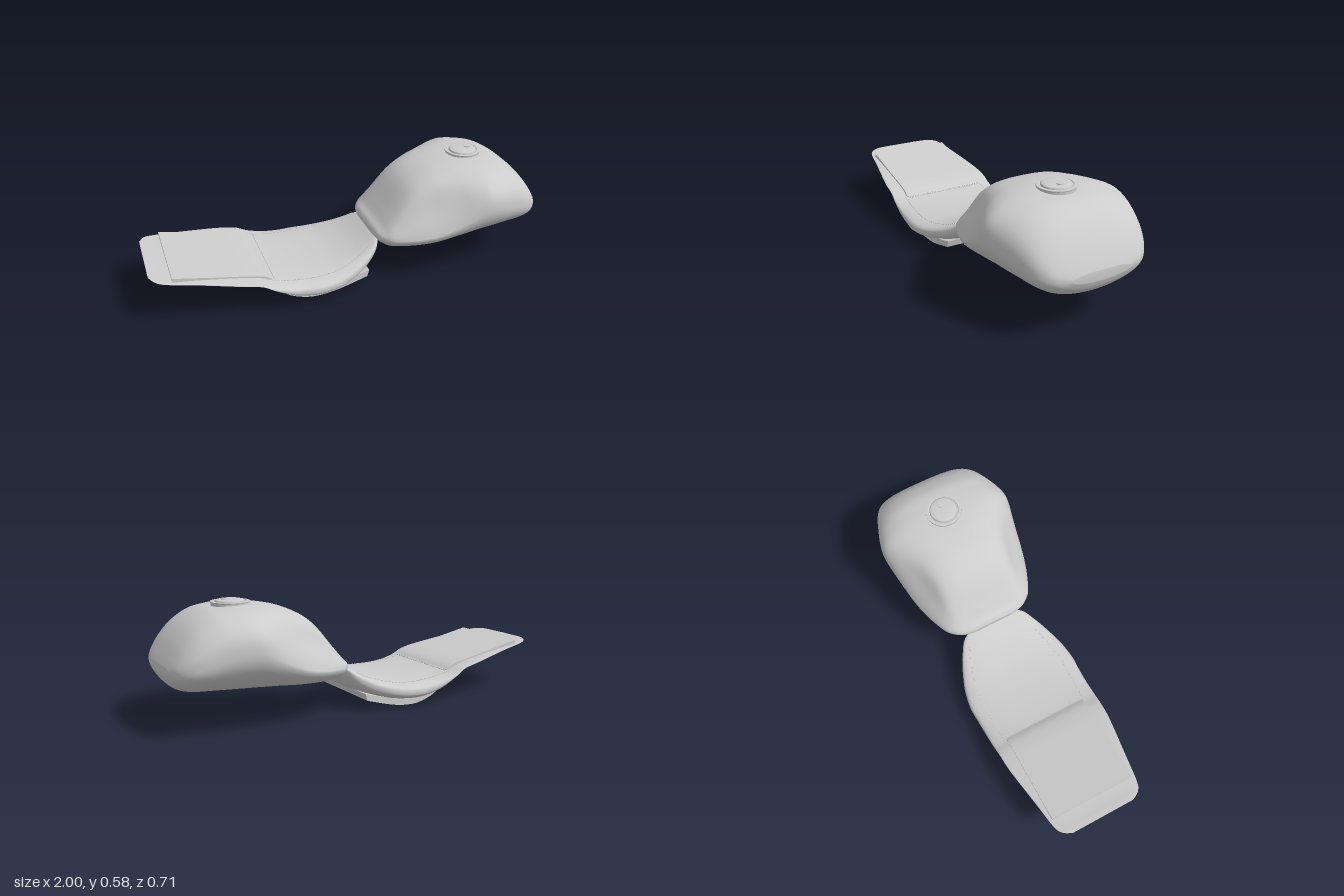
import * as THREE from 'three';

const grey = new THREE.MeshStandardMaterial({ color: 0xcccccc });
grey.name = 'light grey';

// Station: x, bottom y, widest y, top y, half width, side dent
const tankStations = [
  [0.12, 0.21, 0.228, 0.245, 0.11, 0],
  [0.132, 0.192, 0.23, 0.262, 0.17, 0.01],
  [0.16, 0.165, 0.235, 0.285, 0.215, 0.04],
  [0.2, 0.15, 0.24, 0.335, 0.248, 0.09],
  [0.3, 0.151, 0.25, 0.46, 0.29, 0.17],
  [0.4, 0.155, 0.27, 0.52, 0.318, 0.17],
  [0.5, 0.16, 0.31, 0.545, 0.336, 0.1],
  [0.58, 0.163, 0.35, 0.554, 0.35, 0.03],
  [0.65, 0.166, 0.38, 0.555, 0.357, 0],
  [0.72, 0.17, 0.375, 0.55, 0.346, 0],
  [0.8, 0.175, 0.355, 0.535, 0.322, 0],
  [0.88, 0.181, 0.33, 0.487, 0.295, 0],
  [0.94, 0.195, 0.31, 0.42, 0.262, 0],
  [0.98, 0.23, 0.3, 0.355, 0.212, 0],
  [1.0, 0.27, 0.295, 0.315, 0.14, 0],
];

const seatStations = [
  [-1.0, 0.25, 0.252, 0.256, 0.165, 0],
  [-0.975, 0.244, 0.248, 0.252, 0.208, 0],
  [-0.93, 0.234, 0.239, 0.244, 0.23, 0],
  [-0.8, 0.214, 0.22, 0.228, 0.251, 0],
  [-0.6, 0.176, 0.185, 0.194, 0.283, 0],
  [-0.5, 0.153, 0.163, 0.172, 0.29, 0],
  [-0.44, 0.115, 0.13, 0.15, 0.294, 0],
  [-0.36, 0.06, 0.098, 0.138, 0.297, 0],
  [-0.28, 0.031, 0.083, 0.132, 0.3, 0],
  [-0.2, 0.025, 0.08, 0.131, 0.303, 0],
  [-0.1, 0.034, 0.088, 0.138, 0.286, 0],
  [0.0, 0.058, 0.115, 0.162, 0.248, 0],
  [0.07, 0.092, 0.15, 0.192, 0.21, 0],
  [0.12, 0.145, 0.19, 0.22, 0.17, 0],
  [0.15, 0.2, 0.22, 0.235, 0.1, 0],
];

// Smoothly blends all columns of a station table at u = 0..1
function sample(stations, u) {
  const last = stations.length - 1;
  const i = Math.min(Math.floor(u * last), last - 1);
  const t = u * last - i;
  const at = (k) => stations[Math.max(0, Math.min(last, k))];
  return at(i).map((b, k) => {
    const a = at(i - 1)[k], c = at(i + 1)[k], d = at(i + 2)[k];
    return b + 0.5 * t * (c - a + t * (2 * a - 5 * b + 4 * c - d + t * (3 * (b - c) + d - a)));
  });
}

const power = (v, p) => Math.sign(v) * Math.abs(v) ** p;

// Point on a squared-oval section, angle measured from +z towards +y
function surfacePoint(stations, u, angle, topN, bottomN) {
  const [x, low, mid, high, width, dent] = sample(stations, u);
  const c = Math.cos(angle), s = Math.sin(angle);
  const p = 2 / (s > 0 ? topN : bottomN);
  const pinch = s > 0 ? 1 - dent * Math.sin(Math.PI * s) : 1;
  const y = mid + (s > 0 ? high - mid : mid - low) * power(s, p);
  return [x, y, width * power(c, p) * pinch];
}

function loft(stations, topN, bottomN, rows = 90, sides = 64) {
  const position = [], index = [];
  for (let i = 0; i <= rows; i++) {
    for (let j = 0; j < sides; j++) {
      position.push(...surfacePoint(stations, i / rows, (j / sides) * Math.PI * 2, topN, bottomN));
    }
  }
  for (let i = 0; i < rows; i++) {
    for (let j = 0; j < sides; j++) {
      const a = i * sides + j, b = i * sides + ((j + 1) % sides);
      index.push(a, a + sides, b, b, a + sides, b + sides);
    }
  }
  // End caps
  const start = position.length / 3;
  for (const s of [stations[0], stations[stations.length - 1]]) position.push(s[0], s[2], 0);
  for (let j = 0; j < sides; j++) {
    const k = (j + 1) % sides;
    index.push(start, j, k, start + 1, rows * sides + k, rows * sides + j);
  }
  const geometry = new THREE.BufferGeometry();
  geometry.setAttribute('position', new THREE.Float32BufferAttribute(position, 3));
  geometry.setIndex(index);
  geometry.computeVertexNormals();
  return geometry;
}

// Plate with a curved side outline, extruded across the seat
function plate(under, over, halfWidth) {
  const v = (list) => list.map(([x, y]) => new THREE.Vector2(x, y));
  const outline = [
    ...new THREE.SplineCurve(v(under)).getPoints(30),
    ...new THREE.SplineCurve(v(over)).getPoints(30),
  ];
  const geometry = new THREE.ExtrudeGeometry(new THREE.Shape(outline), {
    depth: halfWidth * 2, bevelEnabled: false,
  });
  return geometry.translate(0, 0, -halfWidth);
}

export function createModel() {
  const model = new THREE.Group();
  model.name = 'tankAndSeat';
  const add = (name, geometry, parent = model) => {
    const mesh = new THREE.Mesh(geometry, grey);
    mesh.name = name;
    parent.add(mesh);
    return mesh;
  };

  add('fuelTank', loft(tankStations, 2.6, 2));
  add('seatCushion', loft(seatStations, 3, 2.6));

  // Pan below the dip and pad on the tail
  add('seatPan', plate(
    [[-0.48, 0.155], [-0.42, 0.09], [-0.35, 0.035], [-0.27, 0.006], [-0.2, 0], [-0.1, 0.013], [0.05, 0.055]],
    [[0.06, 0.09], [-0.05, 0.06], [-0.2, 0.04], [-0.35, 0.075], [-0.46, 0.16]], 0.222));
  add('rearPad', plate(
    [[-0.9, 0.233], [-0.7, 0.195], [-0.5, 0.157], [-0.45, 0.14]],
    [[-0.435, 0.15], [-0.5, 0.18], [-0.7, 0.219], [-0.9, 0.258]], 0.22));

  // Filler cap: stepped collar, shallow dome and lock button
  const cap = new THREE.Group();
  cap.name = 'fillerCap';
  cap.position.set(0.655, 0, 0);
  model.add(cap);
  const turned = (points) => new THREE.LatheGeometry(points.map(([r, y]) => new THREE.Vector2(r, y)), 48);
  add('capCollar', turned([[0.088, 0.53], [0.088, 0.559], [0.088, 0.559], [0.09, 0.56], [0.09, 0.565],
    [0.09, 0.565], [0.077, 0.566], [0.077, 0.566], [0.074, 0.56], [0.06, 0.56]]), cap);
  add('capDome', turned([[0.069, 0.555], [0.069, 0.568], [0.064, 0.571], [0.05, 0.574], [0.025, 0.575], [0, 0.575]]), cap);
  add('capLock', new THREE.CylinderGeometry(0.016, 0.016, 0.012, 24).translate(0.027, 0.573, 0), cap);

  // Seam stitches along both sides and across the seat
  const stitches = new THREE.Group();
  stitches.name = 'seatStitches';
  model.add(stitches);
  const along = new THREE.BoxGeometry(0.012, 0.004, 0.004);
  const across = new THREE.BoxGeometry(0.004, 0.004, 0.01);
  const sideAngle = Math.acos(0.78 ** 1.5);
  for (let i = 0; i < 34; i++) {
    const u = 0.435 + (i / 33) * 0.42;
    for (const angle of [sideAngle, Math.PI - sideAngle]) {
      const [x, y, z] = surfacePoint(seatStations, u, angle, 3, 2.6);
      const [x2, y2] = surfacePoint(seatStations, u + 0.01, angle, 3, 2.6);
      const stitch = add('sideStitch', along, stitches);
      stitch.position.set(x, y, z);
      stitch.rotation.z = Math.atan2(y2 - y, x2 - x);
    }
  }
  for (let i = 0; i < 26; i++) {
    add('crossStitch', across, stitches).position.set(-0.425, 0.148, -0.21 + i * 0.0168);
  }
  return model;
}
